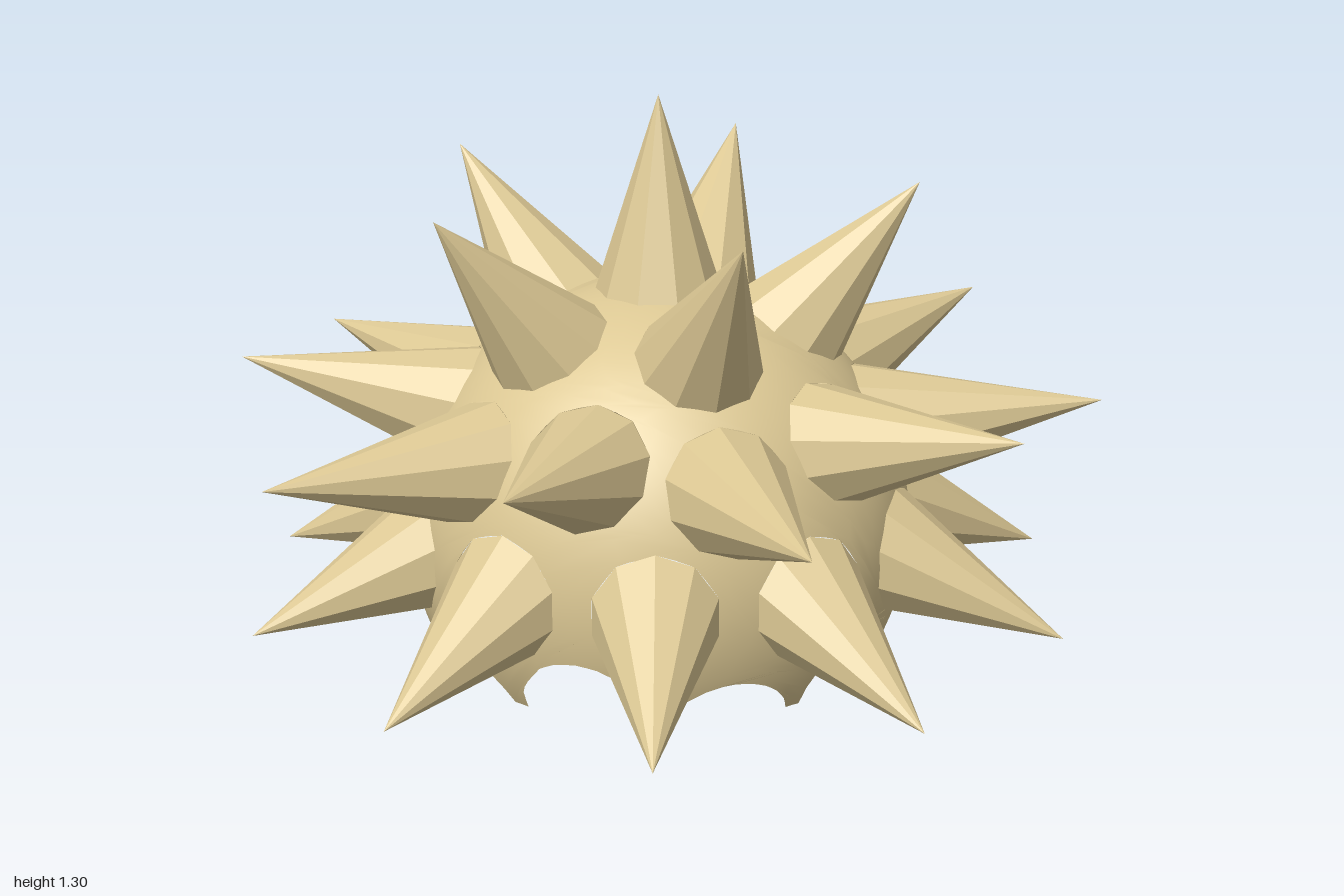
import * as THREE from 'three';

const CENTRE = new THREE.Vector3(-0.032, 0.29, 0);
const R = 0.587;                                  // shell radius
const deg = THREE.MathUtils.degToRad;
const HALF = deg(14.2);                           // angular radius of a spike base
const SIDES = 10;
const CUT = -Math.asin(CENTRE.y / R);             // latitude of the open rim

// Direction from azimuth and elevation
const dir = (az, el) => new THREE.Vector3(
  Math.cos(el) * Math.cos(az), Math.sin(el), -Math.cos(el) * Math.sin(az));

// Point on the small circle around a base centre (t = 0 is east, PI/2 is north)
function circlePoint(az, el, t) {
  const east = dir(az + Math.PI / 2, 0);
  const north = dir(az, el + Math.PI / 2);
  return dir(az, el).multiplyScalar(Math.cos(HALF))
    .addScaledVector(east, Math.sin(HALF) * Math.cos(t))
    .addScaledVector(north, Math.sin(HALF) * Math.sin(t));
}

// Flat map of the sphere seen from its pole, and back
function flatten(d) {
  const p = Math.acos(THREE.MathUtils.clamp(d.y, -1, 1));
  const a = Math.atan2(-d.z, d.x);
  return new THREE.Vector2(p * Math.cos(a), p * Math.sin(a));
}
const unflatten = (u, v) => dir(Math.atan2(v, u), Math.PI / 2 - Math.hypot(u, v));

// Rings of spikes: count, first azimuth, base elevation, tip radius, tip height
const rings = [
  { name: 'topSpike', n: 1, az: 0, el: 90, r: 0, y: 1.31 },
  { name: 'upperSpike', n: 5, az: 0, el: 58.28, r: 0.59, y: 1.11 },
  { name: 'middleSpike', n: 5, az: 36, el: 31.72, r: 0.963, y: 0.69 },
  { name: 'middleLowSpike', n: 5, az: 0, el: 26.57, r: 1.027, y: 0.59 },
  { name: 'lowerSpike', n: 10, az: 18, el: 0, r: 0.968, y: 0.12 },
];

// Hollow faceted spike from a base ring to its tip
function spikeGeometry(base, tip) {
  const pos = [];
  base.forEach((d, i) => {
    const a = d.clone().multiplyScalar(R).add(CENTRE);
    const b = base[(i + 1) % base.length].clone().multiplyScalar(R).add(CENTRE);
    pos.push(...a.toArray(), ...b.toArray(), ...tip.toArray());
  });
  const g = new THREE.BufferGeometry();
  g.setAttribute('position', new THREE.Float32BufferAttribute(pos, 3));
  g.computeVertexNormals();
  return g;
}

// Domed shell with a hole under each spike and a scalloped open rim
function shellGeometry(holes) {
  const outline = [];
  for (let k = 0; k < 10; k++) {
    const el = deg(k % 2 ? -26.57 : -31.72);
    const t0 = Math.asin((el - CUT) / HALF);
    for (let i = 0; i <= 10; i++) {
      const t = THREE.MathUtils.lerp(Math.PI + t0, -t0, i / 10);
      outline.push(flatten(circlePoint(deg(36 * k), el, t)));
    }
  }
  const shape = new THREE.Shape(outline);
  holes.forEach(h => shape.holes.push(new THREE.Path(h.map(flatten))));
  const flat = new THREE.ShapeGeometry(shape).toNonIndexed().attributes.position;

  // split each flat triangle in four, then wrap onto the sphere
  const pos = [], nor = [];
  const put = p => {
    const d = unflatten(p.x, p.y);
    nor.push(...d.toArray());
    const q = d.multiplyScalar(R).add(CENTRE);
    pos.push(q.x, Math.max(q.y, 0), q.z);
  };
  for (let i = 0; i < flat.count; i += 3) {
    const [a, b, c] = [0, 1, 2].map(j => new THREE.Vector2(flat.getX(i + j), flat.getY(i + j)));
    const mid = (p, q) => p.clone().lerp(q, 0.5);
    const ab = mid(a, b), bc = mid(b, c), ca = mid(c, a);
    [a, ab, ca, ab, b, bc, ca, bc, c, ab, bc, ca].forEach(put);
  }
  const g = new THREE.BufferGeometry();
  g.setAttribute('position', new THREE.Float32BufferAttribute(pos, 3));
  g.setAttribute('normal', new THREE.Float32BufferAttribute(nor, 3));
  return g;
}

export function createModel() {
  const model = new THREE.Group();
  model.name = 'spikedShell';
  const material = (flatShading) => new THREE.MeshStandardMaterial({
    color: 0xdcc894, flatShading, side: THREE.DoubleSide });
  const spikeMaterial = material(true);
  const holes = [];

  for (const ring of rings) {
    for (let k = 0; k < ring.n; k++) {
      const az = deg(ring.az + 360 * k / ring.n);
      const base = Array.from({ length: SIDES }, (_, i) =>
        circlePoint(az, deg(ring.el), Math.PI / 2 + 2 * Math.PI * i / SIDES));
      holes.push(base);
      const tip = dir(az, 0).multiplyScalar(ring.r).setY(ring.y);
      tip.x += CENTRE.x;
      const spike = new THREE.Mesh(spikeGeometry(base, tip), spikeMaterial);
      spike.name = ring.name;
      model.add(spike);
    }
  }

  const shell = new THREE.Mesh(shellGeometry(holes), material(false));
  shell.name = 'shell';
  model.add(shell);
  return model;
}
